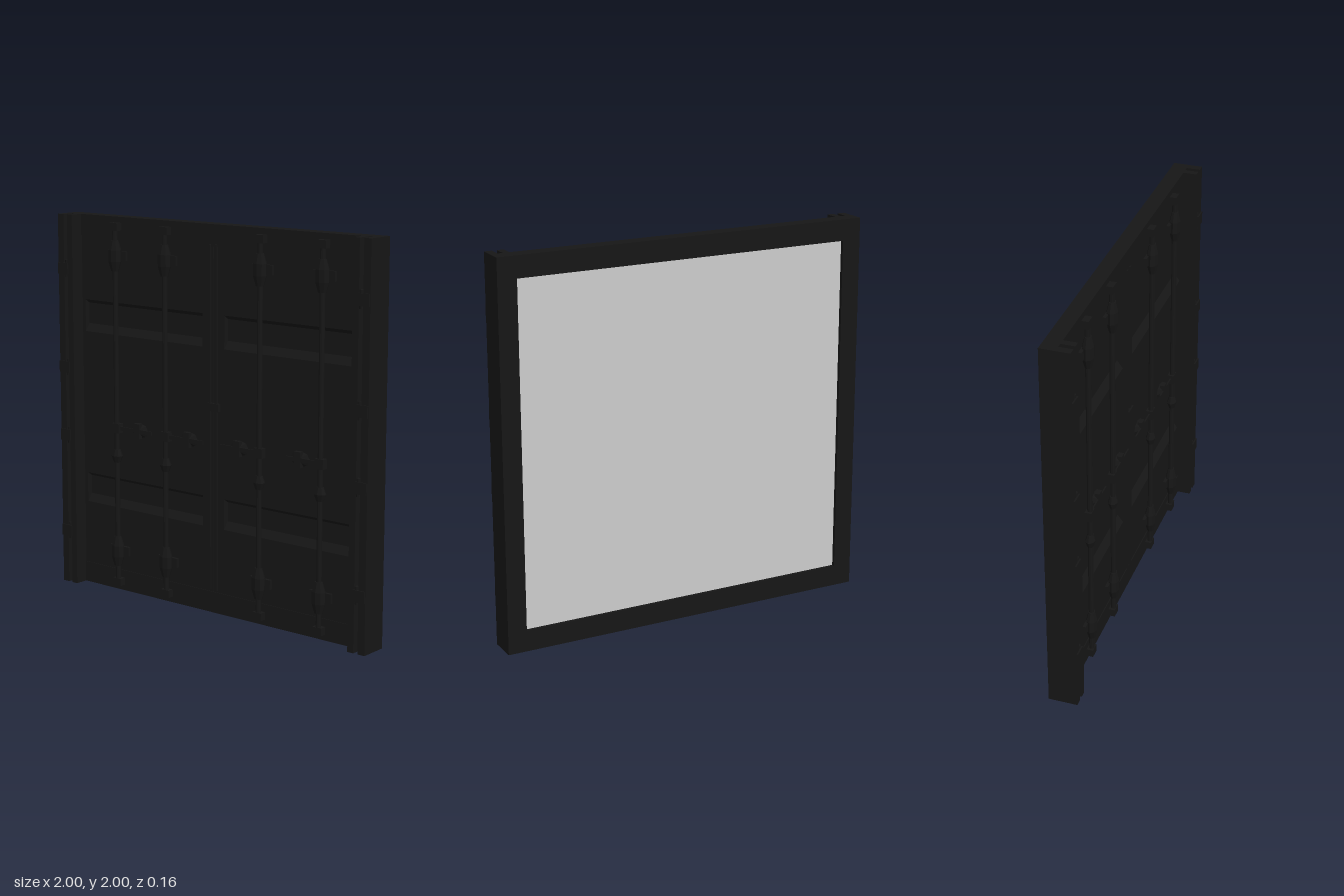
import * as THREE from 'three';

const dark = new THREE.MeshStandardMaterial({ color: 0x161616, flatShading: true });
const grey = new THREE.MeshStandardMaterial({ color: 0xcccccc });

function add(parent, name, geometry, material = dark) {
  const mesh = new THREE.Mesh(geometry, material);
  mesh.name = name;
  parent.add(mesh);
  return mesh;
}

// Box given by its limits on each axis
function box(parent, name, x0, x1, y0, y1, z0, z1, material) {
  const a = Math.min(x0, x1), b = Math.max(x0, x1);
  const g = new THREE.BoxGeometry(b - a, y1 - y0, z1 - z0);
  g.translate((a + b) / 2, (y0 + y1) / 2, (z0 + z1) / 2);
  return add(parent, name, g, material);
}

// Side-on outline (z, y) extruded along x
function extrudeX(points, x0, x1) {
  const shape = new THREE.Shape(points.map(([z, y]) => new THREE.Vector2(z, y)));
  const g = new THREE.ExtrudeGeometry(shape, { depth: x1 - x0, bevelEnabled: false });
  g.rotateY(-Math.PI / 2);
  g.translate(x1, 0, 0);
  return g;
}

// Channel-shaped corner post with hinges; s is the side
function makePost(s) {
  const post = new THREE.Group();
  post.name = 'cornerPost';
  box(post, 'postBack', s * 0.9, s, 0, 2, -0.08, 0);
  box(post, 'outerFlange', s * 0.96, s, 0, 2, 0, 0.07);
  box(post, 'innerFlange', s * 0.9, s * 0.935, 0, 2, 0, 0.07);
  for (const y of [0.29, 0.82, 1.19, 1.715]) {
    box(post, 'hingeLeaf', s * 0.93, s * 0.998, y - 0.03, y + 0.03, 0.02, 0.078);
    const pin = add(post, 'hingePin', new THREE.CylinderGeometry(0.012, 0.012, 0.09, 8));
    pin.position.set(s * 0.945, y, 0.06);
  }
  return post;
}

// Door leaf with two horizontal trapezoid grooves
function makeDoor(s) {
  const door = new THREE.Group();
  door.name = 'door';
  const front = -0.005, floor = -0.035;
  const profile = [[-0.058, 0.08], [front, 0.08]];
  for (const [low, high] of [[0.45, 0.61], [1.38, 1.55]]) {
    profile.push([front, low], [floor, low + 0.04], [floor, high - 0.02], [front, high]);
  }
  profile.push([front, 1.92], [-0.058, 1.92]);
  const x0 = s > 0 ? 0.07 : -0.88;
  add(door, 'doorPanel', extrudeX(profile, x0, x0 + 0.81));
  box(door, 'hingeStile', s * 0.88, s * 0.9, 0.08, 1.92, -0.058, front);
  box(door, 'meetingStile', s * 0.002, s * 0.07, 0.08, 1.92, -0.058, front);
  box(door, 'doorSeal', s * 0.012, s * 0.03, 0.12, 1.9, front, 0.006);
  return door;
}

// Locking rod with cam housings, guide collar and end keepers
function makeLockRod(x) {
  const rod = new THREE.Group();
  rod.name = 'lockRod';
  const shaft = add(rod, 'rodShaft', new THREE.CylinderGeometry(0.014, 0.014, 1.92, 10));
  shaft.position.set(0, 1, 0.02);
  const camProfile = [[0, -0.08], [0.022, -0.08], [0.038, -0.03], [0.038, 0.03], [0.022, 0.08], [0, 0.08]]
    .map(([r, y]) => new THREE.Vector2(r, y));
  for (const y of [0.22, 1.8]) {
    const cam = add(rod, 'camHousing', new THREE.LatheGeometry(camProfile, 8));
    cam.scale.z = 0.75;
    cam.position.set(0, y, 0.022);
    box(rod, 'camPlate', -0.065, 0.065, y - 0.025, y + 0.025, -0.005, 0.012);
  }
  const collar = add(rod, 'guideCollar', new THREE.LatheGeometry(
    [[0, -0.035], [0.02, -0.035], [0.034, 0], [0.02, 0.035], [0, 0.035]]
      .map(([r, y]) => new THREE.Vector2(r, y)), 8));
  collar.scale.z = 0.75;
  collar.position.set(0, 0.74, 0.02);
  for (const y of [0.05, 1.95]) box(rod, 'endKeeper', -0.027, 0.027, y - 0.02, y + 0.02, -0.005, 0.035);
  rod.position.x = x;
  return rod;
}

// Flat swing handle on a tapered catch
function makeHandle(x, dir, length, catchAt) {
  const handle = new THREE.Group();
  handle.name = 'lockHandle';
  box(handle, 'handleHub', -0.025, 0.025, 0.865, 0.915, 0, 0.035);
  box(handle, 'handleBar', 0, dir * length, 0.88, 0.9, 0.014, 0.022);
  const seat = add(handle, 'handleCatch', new THREE.CylinderGeometry(0.02, 0.06, 0.025, 8));
  seat.rotation.x = Math.PI / 2;
  seat.scale.z = 0.7;
  seat.position.set(dir * catchAt, 0.89, 0.0065);
  box(handle, 'catchTab', dir * catchAt - 0.02, dir * catchAt + 0.02, 0.85, 0.93, 0, 0.025);
  handle.position.x = x;
  return handle;
}

export function createModel() {
  const model = new THREE.Group();
  model.name = 'containerDoorEnd';

  // Surrounding frame
  for (const s of [-1, 1]) model.add(makePost(s), makeDoor(s));
  box(model, 'header', -0.9, 0.9, 1.89, 2, -0.08, 0);
  box(model, 'sill', -0.9, 0.9, 0, 0.11, -0.08, 0);

  // Inner lining on the back
  box(model, 'backLining', -0.9, 0.9, 0.11, 1.89, -0.062, -0.056, grey);

  // Locking gear
  const locks = [[-0.64, 1, 0.24, 0.14], [-0.3, 1, 0.25, 0.14], [0.315, -1, 0.25, 0.145], [0.69, -1, 0.21, 0.14]];
  for (const [x, dir, length, catchAt] of locks) {
    model.add(makeLockRod(x), makeHandle(x, dir, length, catchAt));
  }
  box(model, 'centreLatch', -0.025, 0.045, 1.06, 1.1, -0.005, 0.014);
  return model;
}
